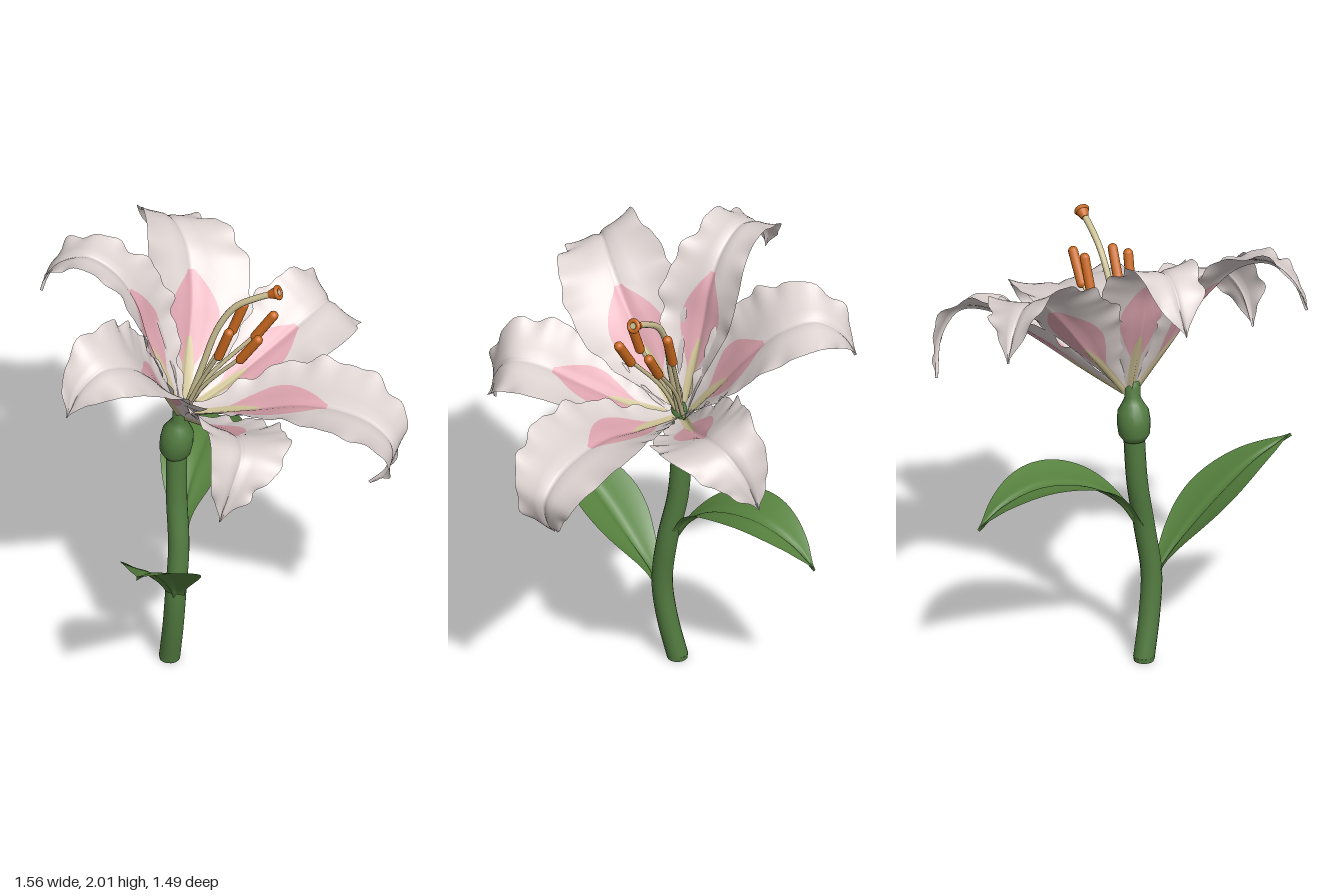
import * as THREE from 'three';

const V = (x, y, z) => new THREE.Vector3(x, y, z);
const mat = (name, color, side = THREE.FrontSide) => {
  const m = new THREE.MeshStandardMaterial({ color, side });
  m.name = name;
  return m;
};

// value of a smooth profile with evenly spaced samples
const profile = (values) => {
  const c = new THREE.SplineCurve(values.map((v, i) => new THREE.Vector2(i, v)));
  return (t) => Math.max(0, c.getPoint(t).y);
};

// Cupped ribbon along a path. columns(t) gives the cross positions (-1..1),
// paint(t, strip) the material index of each strip.
function ribbon({ path, side, width, cup, ruffle = 0, groove = 0.01, phase = 0, rows, columns, paint }) {
  const curve = new THREE.CatmullRomCurve3(path);
  const pos = [], index = [], groups = [[], [], []];
  const n = columns(0).length;
  for (let i = 0; i <= rows; i++) {
    const t = i / rows;
    const p = curve.getPointAt(t), tan = curve.getTangentAt(t);
    const across = side.clone().addScaledVector(tan, -side.dot(tan)).normalize();
    const up = across.clone().cross(tan).normalize();
    const w = width(t);
    for (const s of columns(t)) {
      const a = Math.abs(s), sg = s < 0 ? 0 : 1.7;
      const wave = Math.sin(t * 43 + phase + sg) + 0.6 * Math.sin(t * 71 + phase * 2 + sg);
      const edge = ruffle * a ** 4 * wave * Math.min(1, w / 0.1);
      const lift = w * cup(t) * s * s + edge - groove * Math.exp(-((s / 0.1) ** 2));
      const v = p.clone().addScaledVector(across, w * s + Math.sign(s) * edge * 0.5).addScaledVector(up, lift);
      pos.push(v.x, v.y, v.z);
    }
  }
  for (let i = 0; i < rows; i++) {
    for (let j = 0; j < n - 1; j++) {
      const a = i * n + j, b = a + n;
      groups[paint((i + 0.5) / rows, j)].push(a, b, a + 1, a + 1, b, b + 1);
    }
  }
  const g = new THREE.BufferGeometry();
  g.setAttribute('position', new THREE.Float32BufferAttribute(pos, 3));
  groups.forEach((list, k) => {
    if (list.length) g.addGroup(index.length, list.length, k);
    index.push(...list);
  });
  g.setIndex(index);
  g.computeVertexNormals();
  return g;
}

export function createModel() {
  const model = new THREE.Group();
  model.name = 'lily';
  const green = mat('stem green', 0x527b40);
  const leafGreen = mat('leaf green', 0x57823f, THREE.DoubleSide);
  const white = mat('petal white', 0xddd3d1, THREE.DoubleSide);
  const pink = mat('petal pink', 0xdea5af, THREE.DoubleSide);
  const cream = mat('throat cream', 0xcdc194, THREE.DoubleSide);
  const orange = mat('anther orange', 0xc8681f);

  const add = (name, geometry, material, parent = model) => {
    const m = new THREE.Mesh(geometry, material);
    m.name = name;
    parent.add(m);
    return m;
  };
  const tube = (pts, r, seg = 24, sides = 10) =>
    new THREE.TubeGeometry(new THREE.CatmullRomCurve3(pts), seg, r, sides);

  // Stem, with its cut end and the swollen node below the flower
  add('stem', tube([V(-0.21, 0.01, 0.05), V(-0.185, 0.2, 0.085), V(-0.17, 0.38, 0.1), V(-0.165, 0.6, 0.07),
    V(-0.185, 0.82, 0.03), V(-0.19, 1.02, 0.015), V(-0.19, 1.1, 0.012)], 0.045, 40, 16), green);
  add('stemBase', new THREE.CylinderGeometry(0.045, 0.043, 0.02, 16), green).position.set(-0.21, 0.01, 0.05);
  const node = [[0, -0.09], [0.045, -0.085], [0.066, -0.055], [0.071, 0], [0.066, 0.05], [0.045, 0.085],
    [0.033, 0.11], [0.036, 0.15], [0.03, 0.18], [0, 0.19]].map(([r, y]) => new THREE.Vector2(r, y));
  const bulb = add('node', new THREE.LatheGeometry(node, 20), green);
  bulb.position.set(-0.19, 1.11, 0.012);
  bulb.rotation.z = -0.13;

  // Leaves
  const even = Array.from({ length: 17 }, (_, i) => i / 8 - 1);
  const leaf = (name, path, dir, widths, cup) => add(name, ribbon({
    path, side: V(dir, 0, 0), width: profile(widths), cup, groove: 0.015,
    rows: 36, columns: () => even, paint: () => 0,
  }), [leafGreen]);
  leaf('frontLeaf', [V(-0.17, 0.33, 0.1), V(-0.165, 0.43, 0.16), V(-0.16, 0.56, 0.27), V(-0.16, 0.7, 0.41),
    V(-0.16, 0.82, 0.56), V(-0.165, 0.91, 0.73)], -1,
  [0.035, 0.05, 0.1, 0.145, 0.165, 0.155, 0.12, 0.065, 0], (t) => 0.35 * (1 - t));
  leaf('backLeaf', [V(-0.175, 0.62, 0.04), V(-0.175, 0.73, -0.03), V(-0.175, 0.82, -0.14), V(-0.17, 0.87, -0.28),
    V(-0.17, 0.875, -0.43), V(-0.175, 0.82, -0.58), V(-0.18, 0.73, -0.69)], 1,
  [0.035, 0.05, 0.1, 0.14, 0.16, 0.15, 0.115, 0.06, 0], (t) => 0.3 * (1 - 0.6 * t));

  // Petals: cream throat stripe inside a pink blush inside white
  const creamEdge = (t) => Math.max(0.05, 0.55 * (1 - t / 0.3));
  const blush = (t) => (t > 0.15 && t < 0.53 ? 0.52 * Math.sin(Math.PI * ((t - 0.15) / 0.38) ** 0.85) : 0);
  const columns = (t) => {
    const c = creamEdge(t), p = Math.min(0.9, c + 0.02 + Math.max(0, blush(t) - c * 0.6));
    const half = [];
    for (let k = 1; k <= 2; k++) half.push(c * k / 2);
    for (let k = 1; k <= 4; k++) half.push(c + (p - c) * k / 4);
    for (let k = 1; k <= 7; k++) half.push(p + (1 - p) * k / 7);
    return [...half.map((s) => -s).reverse(), 0, ...half];
  };
  const paint = (t, j) => {
    const k = j < 13 ? 12 - j : j - 13;
    if (k < 2 && t < 0.28) return 2;
    return k < 6 && blush(t) > 0.02 ? 1 : 0;
  };
  const petals = new THREE.Group();
  petals.name = 'petals';
  model.add(petals);
  const tilt = V(0.89, -0.45, 0);
  const petal = (name, degrees, path, widths, phase) => {
    const a = THREE.MathUtils.degToRad(degrees);
    const side = tilt.clone().multiplyScalar(-Math.sin(a)).add(V(0, 0, Math.cos(a)));
    add(name, ribbon({
      path, side, width: profile(widths), cup: (t) => 0.6 * (1 - t) ** 1.5 + 0.04,
      ruffle: 0.011, groove: 0.012, phase, rows: 72, columns, paint,
    }), [white, pink, cream], petals);
  };
  petal('lowerPetal', 0, [V(-0.17, 1.24, 0), V(-0.03, 1.28, 0), V(0.15, 1.34, 0), V(0.34, 1.4, 0.005),
    V(0.52, 1.41, 0.01), V(0.67, 1.37, 0.02), V(0.76, 1.28, 0.03), V(0.735, 1.16, 0.04), V(0.66, 1.075, 0.045)],
  [0.03, 0.07, 0.15, 0.21, 0.24, 0.235, 0.18, 0.1, 0], 0);
  petal('upperPetal', 180, [V(-0.18, 1.24, 0), V(-0.24, 1.42, 0), V(-0.31, 1.62, 0), V(-0.36, 1.79, 0),
    V(-0.45, 1.92, 0), V(-0.58, 1.985, 0), V(-0.69, 1.945, 0), V(-0.755, 1.86, 0), V(-0.785, 1.77, 0.01)],
  [0.03, 0.07, 0.13, 0.18, 0.18, 0.145, 0.13, 0.1, 0], 2);
  for (const m of [1, -1]) {
    const end = m > 0 ? 'Front' : 'Back';
    petal('high' + end + 'Petal', 120 * m, [V(-0.17, 1.24, 0.02 * m), V(-0.185, 1.43, 0.16 * m),
      V(-0.21, 1.65, 0.32 * m), V(-0.27, 1.79, 0.45 * m), V(-0.36, 1.83, 0.56 * m), V(-0.44, 1.76, 0.64 * m),
      V(-0.485, 1.64, 0.68 * m)],
    [0.03, 0.08, 0.16, 0.225, 0.24, 0.22, 0.17, 0.1, 0], 3 + m);
    const x = m > 0 ? 0 : 0.05; // the back one reaches a little further
    petal('low' + end + 'Petal', 60 * m, [V(-0.16, 1.24, 0.02 * m), V(-0.02, 1.32, 0.15 * m),
      V(0.11 + x * 0.5, 1.43, 0.31 * m), V(0.21 + x, 1.52, 0.46 * m), V(0.255 + x, 1.52, 0.58 * m),
      V(0.24 + x, 1.42, 0.67 * m), V(0.19 + x, 1.25, 0.71 * m)],
    [0.03, 0.06, 0.12, 0.18, 0.205, 0.2, 0.155, 0.09, 0], 6 + m);
  }

  // Stamens: slender filament with a slanted anther
  const stamens = new THREE.Group();
  stamens.name = 'stamens';
  model.add(stamens);
  const anthers = [[0.045, 1.71, -0.1, 0.35], [0.035, 1.7, 0.085, 0.35], [0.16, 1.69, -0.1, 0.65], [0.14, 1.68, 0.065, 0.65]];
  for (const [x, y, z, lean] of anthers) {
    const dir = V(lean, 1, z * 0.6).normalize();
    const tip = V(x, y, z).addScaledVector(dir, -0.04);
    add('filament', tube([V(-0.16, 1.25, z * 0.15), V(-0.1 + x * 0.2, 1.42, z * 0.45), tip], 0.009, 16, 8), cream, stamens);
    const anther = add('anther', new THREE.CapsuleGeometry(0.021, 0.14, 6, 12), orange, stamens);
    anther.position.set(x, y, z);
    anther.quaternion.setFromUnitVectors(V(0, 1, 0), dir);
  }

  // Pistil, bending toward the front of the bloom, with a ringed stigma
  add('pistil', tube([V(-0.16, 1.25, 0), V(-0.09, 1.48, -0.01), V(-0.02, 1.7, -0.03), V(0.05, 1.81, -0.04),
    V(0.14, 1.87, -0.045), V(0.215, 1.905, -0.05)], 0.014, 32, 10), cream);
  const stigma = new THREE.Group();
  stigma.name = 'stigma';
  stigma.position.set(0.215, 1.905, -0.05);
  stigma.quaternion.setFromUnitVectors(V(0, 1, 0), V(0.9, 0.42, 0).normalize());
  model.add(stigma);
  add('stigmaHead', new THREE.CylinderGeometry(0.03, 0.016, 0.045, 16), orange, stigma);
  const ring = add('stigmaRim', new THREE.TorusGeometry(0.023, 0.01, 8, 18), orange, stigma);
  ring.rotation.x = Math.PI / 2;
  ring.position.y = 0.02;
  add('stigmaCentre', new THREE.CylinderGeometry(0.014, 0.014, 0.006, 12), cream, stigma).position.y = 0.023;

  return model;
}
